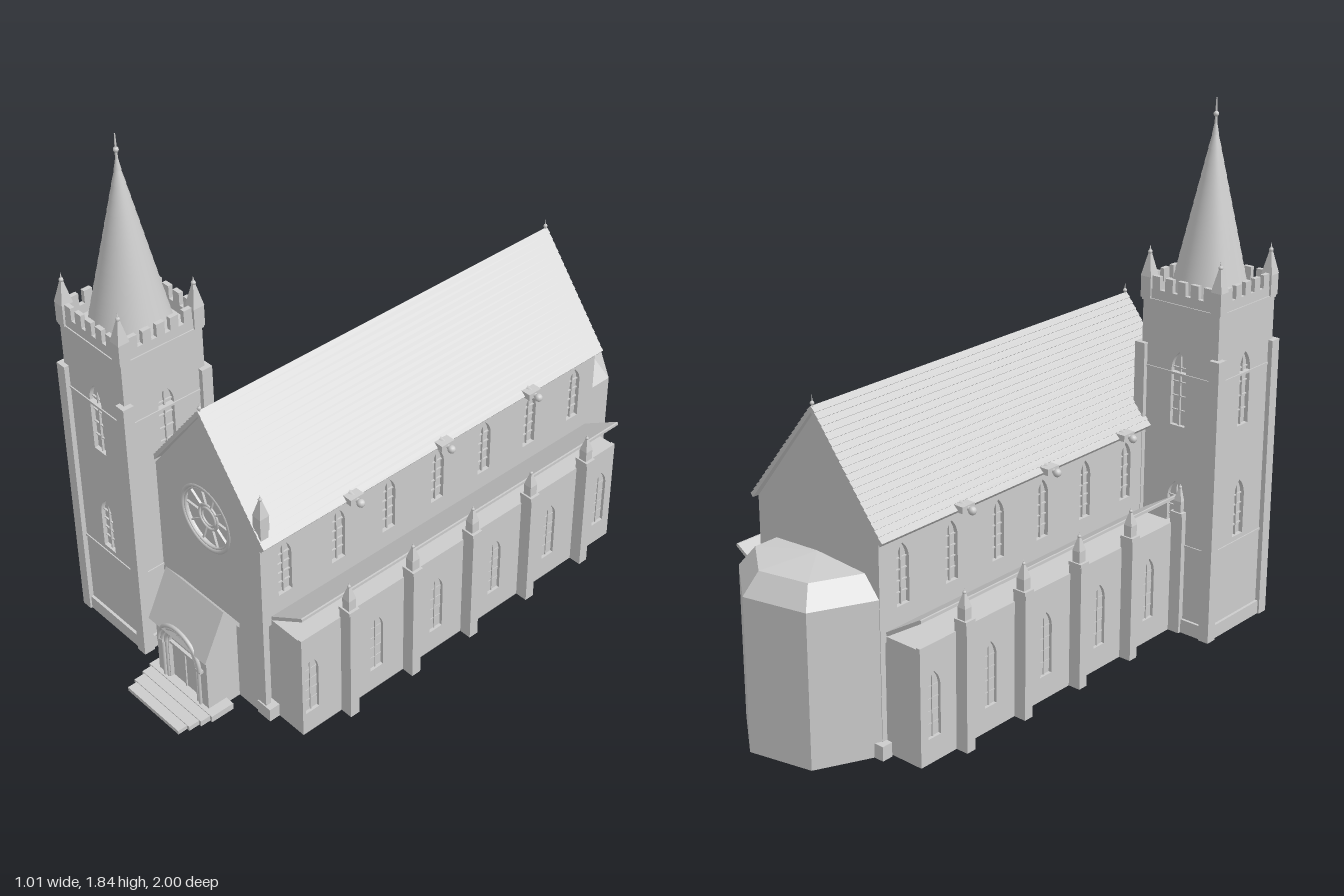
import * as THREE from 'three';

const stone = new THREE.MeshStandardMaterial({ color: 0xcccccc });
stone.name = 'pale stone';
const CX = 0.058; // centre line of the nave

function add(parent, name, geo, x = 0, y = 0, z = 0, ry = 0) {
  const m = new THREE.Mesh(geo, stone);
  m.name = name;
  m.position.set(x, y, z);
  m.rotation.y = ry;
  parent.add(m);
  return m;
}
// box given by its centre in x and z and its bottom in y
const box = (p, name, x, y, z, w, h, d) => add(p, name, new THREE.BoxGeometry(w, h, d), x, y + h / 2, z);
const poly = (pts) => new THREE.Shape(pts.map(([x, y]) => new THREE.Vector2(x, y)));
const extrude = (shape, depth) => new THREE.ExtrudeGeometry(shape, { depth, bevelEnabled: false, curveSegments: 16 });
function flat(geo) {
  const g = geo.toNonIndexed();
  g.computeVertexNormals();
  return g;
}
function group(parent, name, x = 0, y = 0, z = 0, ry = 0) {
  const g = new THREE.Group();
  g.name = name;
  g.position.set(x, y, z);
  g.rotation.y = ry;
  parent.add(g);
  return g;
}

// pointed window opening
function lancet(x, y, w, h) {
  const p = new THREE.Path(), s = y + h - w * 1.1, c = s + w * 0.65;
  p.moveTo(x - w / 2, y);
  p.lineTo(x + w / 2, y);
  p.lineTo(x + w / 2, s);
  p.quadraticCurveTo(x + w / 2, c, x, y + h);
  p.quadraticCurveTo(x - w / 2, c, x - w / 2, s);
  p.lineTo(x - w / 2, y);
  return p;
}
// wall skin with pierced lancets and glazing bars; its outer face lies on local z = 0
function windowWall(parent, name, place, w, y0, y1, wins, d = 0.015) {
  const g = group(parent, name, ...place);
  const s = poly([[-w / 2, y0], [w / 2, y0], [w / 2, y1], [-w / 2, y1]]);
  wins.forEach((a) => s.holes.push(lancet(...a)));
  add(g, 'wallSkin', extrude(s, d), 0, 0, -d);
  for (const [x, y, ww, h] of wins) {
    box(g, 'mullion', x, y, -d + 0.004, 0.005, h - 0.006, 0.008);
    for (let i = 1; i < 5; i++) box(g, 'glazingBar', x, y + (h - ww) * i / 4, -d + 0.003, ww, 0.004, 0.006);
  }
}
function pinnacle(parent, x, y, z, w, h) {
  const g = group(parent, 'pinnacle', x, y, z);
  box(g, 'pinnacleShaft', 0, 0, 0, w, h * 0.42, w);
  const spire = new THREE.CylinderGeometry(0.002, w * 0.74, h * 0.5, 4, 1);
  add(g, 'pinnacleSpire', flat(spire), 0, h * 0.66, 0, Math.PI / 4);
  add(g, 'pinnacleKnob', new THREE.SphereGeometry(w * 0.2, 8, 6), 0, h * 0.86, 0);
  add(g, 'pinnacleTip', new THREE.ConeGeometry(w * 0.12, h * 0.14, 6), 0, h * 0.93, 0);
}

function buildNave(root) {
  const g = group(root, 'nave', CX);
  const gable = (hw) => [[-hw, 0], [hw, 0], [hw, 0.72], [0, 1.06], [-hw, 0.72]];
  add(g, 'naveCore', extrude(poly(gable(0.247)), 1.465), 0, 0, -0.74);
  add(g, 'rearGable', extrude(poly(gable(0.262)), 0.02), 0, 0, -0.745);
  const front = poly(gable(0.262));
  front.holes.push(new THREE.Path().absarc(0, 0.665, 0.112, 0, Math.PI * 2, true));
  add(g, 'frontGable', extrude(front, 0.02), 0, 0, 0.725);

  // rose window
  const rose = group(g, 'roseWindow', 0, 0.665, 0.74);
  add(rose, 'roseRim', new THREE.TorusGeometry(0.116, 0.008, 8, 48));
  add(rose, 'roseInnerRim', new THREE.TorusGeometry(0.106, 0.004, 6, 48));
  for (const r of [0.045, 0.032]) add(rose, 'roseHub', new THREE.TorusGeometry(r, 0.004, 6, 32), 0, 0, -0.008);
  for (let i = 0; i < 10; i++) {
    const a = i * Math.PI / 5;
    const m = add(rose, 'roseSpoke', new THREE.BoxGeometry(0.065, 0.005, 0.008), Math.cos(a) * 0.076, Math.sin(a) * 0.076, -0.01);
    m.rotation.z = a;
  }

  // roof with stepped tile courses
  const n = 20, hw = 0.285, right = [];
  for (let i = 0; i < n; i++) {
    const a = i / n, b = (i + 1) / n;
    right.push([hw * (1 - a) + 0.003, 0.722 + 0.363 * a + 0.0024], [hw * (1 - b), 0.722 + 0.363 * b]);
  }
  const left = right.slice(0, -1).reverse().map(([x, y]) => [-x, y]);
  add(g, 'naveRoof', extrude(poly([...right, ...left, [-0.278, 0.712], [0, 1.065], [0.278, 0.712]]), 1.505), 0, 0, -0.755);
  for (const z of [0.742, -0.748]) {
    add(g, 'ridgeFinial', new THREE.ConeGeometry(0.005, 0.045, 6), 0, 1.097, z);
    add(g, 'ridgeKnob', new THREE.SphereGeometry(0.007, 8, 6), 0, 1.093, z);
  }
  pinnacle(g, 0.255, 0.775, 0.73, 0.035, 0.135);
  box(g, 'pinnacleBase', 0.255, 0.70, 0.73, 0.03, 0.08, 0.03);
  for (const x of [-0.255, 0.255]) for (const z of [-0.748, 0.73])
    box(g, 'cornerPlinth', x, 0, z, 0.06, 0.05, 0.04);

  // both flanks: clerestory, aisle, buttresses and waterspouts
  for (const s of [1, -1]) {
    const ry = s * Math.PI / 2;
    const clere = [0.65, 0.43, 0.215, 0, -0.215, -0.43, -0.645].map((z) => [-s * z, 0.48, 0.055, 0.205]);
    windowWall(g, 'clerestory', [s * 0.262, 0, 0, ry], 1.48, 0.38, 0.722, clere);
    const aisle = group(g, 'aisle');
    box(aisle, 'aisleCore', s * 0.318, 0, -0.005, 0.144, 0.40, 1.43);
    const wins = [0.67, 0.395, 0.13, -0.14, -0.405, -0.66].map((z) => [-s * (z + 0.005), 0.085, 0.055, 0.225]);
    windowWall(aisle, 'aisleWall', [s * 0.401, 0, -0.005, ry], 1.43, 0, 0.405, wins);
    const slab = [[0.258, 0.405], [0.268, 0.403], [0.408, 0.492], [0.408, 0.502], [0.402, 0.502], [0.258, 0.412]];
    add(aisle, 'aisleRoof', extrude(poly(slab.map(([x, y]) => [s * x, y])), 1.43), 0, 0, -0.72);
    for (const z of [0.53, 0.26, -0.005, -0.275, -0.545]) {
      box(aisle, 'buttress', s * 0.421, 0, z, 0.05, 0.445, 0.036);
      box(aisle, 'buttressCap', s * 0.421, 0.437, z, 0.05, 0.012, 0.042);
      pinnacle(aisle, s * 0.421, 0.445, z, 0.03, 0.105);
    }
    for (const z of [0.39, 0, -0.40]) {
      box(g, 'spoutBracket', s * 0.287, 0.718, z, 0.04, 0.022, 0.055);
      const spout = add(g, 'spoutNeck', new THREE.CylinderGeometry(0.007, 0.01, 0.06, 8), s * 0.297, 0.73, z);
      spout.rotation.z = -s * 1.8;
      add(g, 'spoutHead', new THREE.SphereGeometry(0.014, 10, 8), s * 0.322, 0.725, z);
    }
  }
}

function buildTower(root) {
  const g = group(root, 'tower', -0.338, 0, 0.688);
  box(g, 'towerCore', 0, 0, 0, 0.28, 1.17, 0.28);
  box(g, 'towerPlinth', 0, 0, 0, 0.33, 0.05, 0.33);
  for (const y of [0.32, 0.93]) box(g, 'stringCourse', 0, y, 0, 0.318, 0.008, 0.318);
  box(g, 'towerCornice', 0, 1.162, 0, 0.318, 0.01, 0.318);
  for (let k = 0; k < 4; k++) {
    const side = group(g, 'towerSide', 0, 0, 0, k * Math.PI / 2);
    windowWall(side, 'towerWall', [0, 0, 0.155], 0.31, 0, 1.17, [[0, 0.345, 0.06, 0.205], [0, 0.75, 0.06, 0.26]]);
    box(side, 'cornerButtress', 0.152, 0, 0.152, 0.04, 1.015, 0.04);
    // battlements
    box(side, 'parapet', 0, 1.17, 0.147, 0.29, 0.035, 0.016);
    for (let i = -2; i <= 2; i++) box(side, 'merlon', i * 0.052, 1.2, 0.147, 0.031, 0.05, 0.016);
    pinnacle(side, 0.142, 1.17, 0.142, 0.04, 0.18);
  }
  // spire in overlapping courses
  const n = 13, r0 = 0.134, y0 = 1.17, h = 0.59;
  for (let i = 0; i < n; i++) {
    const a = i / n, b = (i + 1) / n;
    const geo = new THREE.CylinderGeometry(Math.max(r0 * (1 - b), 0.003), r0 * (1 - a) + 0.0015, h / n, 40);
    add(g, 'spireCourse', geo, 0, y0 + h * (a + b) / 2, 0);
  }
  add(g, 'spireFinial', new THREE.CylinderGeometry(0.002, 0.005, 0.09, 8), 0, 1.79, 0);
  add(g, 'spireKnob', new THREE.SphereGeometry(0.009, 10, 8), 0, 1.782, 0);
}

function buildPorch(root) {
  const g = group(root, 'porch', CX);
  // body: end profile in (z, y) swept along x
  const sweep = (name, pts, w) => add(g, name, extrude(poly(pts.map(([z, y]) => [-z, y])), w), -w / 2, 0, 0, Math.PI / 2);
  sweep('porchBody', [[0.74, 0], [0.857, 0], [0.857, 0.27], [0.805, 0.385], [0.74, 0.30]], 0.255);
  sweep('porchRoof', [[0.74, 0.30], [0.805, 0.39], [0.878, 0.235], [0.888, 0.24], [0.805, 0.41], [0.74, 0.32]], 0.288);
  const front = poly([[-0.1275, 0], [0.1275, 0], [0.1275, 0.25], [-0.1275, 0.25]]);
  const door = new THREE.Path();
  door.moveTo(-0.068, 0.02);
  door.lineTo(0.068, 0.02);
  door.lineTo(0.068, 0.175);
  door.absarc(0, 0.175, 0.068, 0, Math.PI, false);
  door.lineTo(-0.068, 0.02);
  front.holes.push(door);
  add(g, 'porchFront', extrude(front, 0.016), 0, 0, 0.856);
  box(g, 'doorLintel', 0, 0.172, 0.862, 0.136, 0.01, 0.012);
  box(g, 'doorSplit', 0, 0.02, 0.859, 0.004, 0.155, 0.006);
  for (const [r, z] of [[0.104, 0.882], [0.091, 0.878], [0.077, 0.874]]) {
    add(g, 'doorArch', new THREE.TorusGeometry(r, 0.007, 8, 32, Math.PI), 0, 0.178, z);
    for (const s of [1, -1]) if (r < 0.1) add(g, 'doorColumn', new THREE.CylinderGeometry(0.006, 0.006, 0.16, 10), s * r, 0.1, z - 0.002);
  }
  for (const s of [1, -1]) box(g, 'archStop', s * 0.098, 0.17, 0.876, 0.026, 0.012, 0.018);
  // low front steps, narrowing outwards
  [[0.325, 0.888], [0.305, 0.925], [0.285, 0.965], [0.262, 1.0]].forEach(([w, z], i) =>
    box(g, 'step', 0, 0, (0.80 + z) / 2, w, 0.024 - i * 0.003, z - 0.80));
}

function buildApse(root) {
  const g = group(root, 'apse', 0.06, 0, -0.745);
  // seven-sided drum, sloped shoulder and shallow cap
  const ring = (name, rt, rb, y0, y1) =>
    add(g, name, flat(new THREE.CylinderGeometry(rt, rb, y1 - y0, 7, 1, false, -Math.PI / 2)), 0, (y0 + y1) / 2, 0);
  ring('apseWall', 0.262, 0.262, 0, 0.53);
  ring('apseShoulder', 0.204, 0.262, 0.53, 0.60);
  ring('apseCap', 0.001, 0.204, 0.60, 0.612);
}

export function createModel() {
  const root = new THREE.Group();
  root.name = 'church';
  buildNave(root);
  buildTower(root);
  buildPorch(root);
  buildApse(root);
  return root;
}
